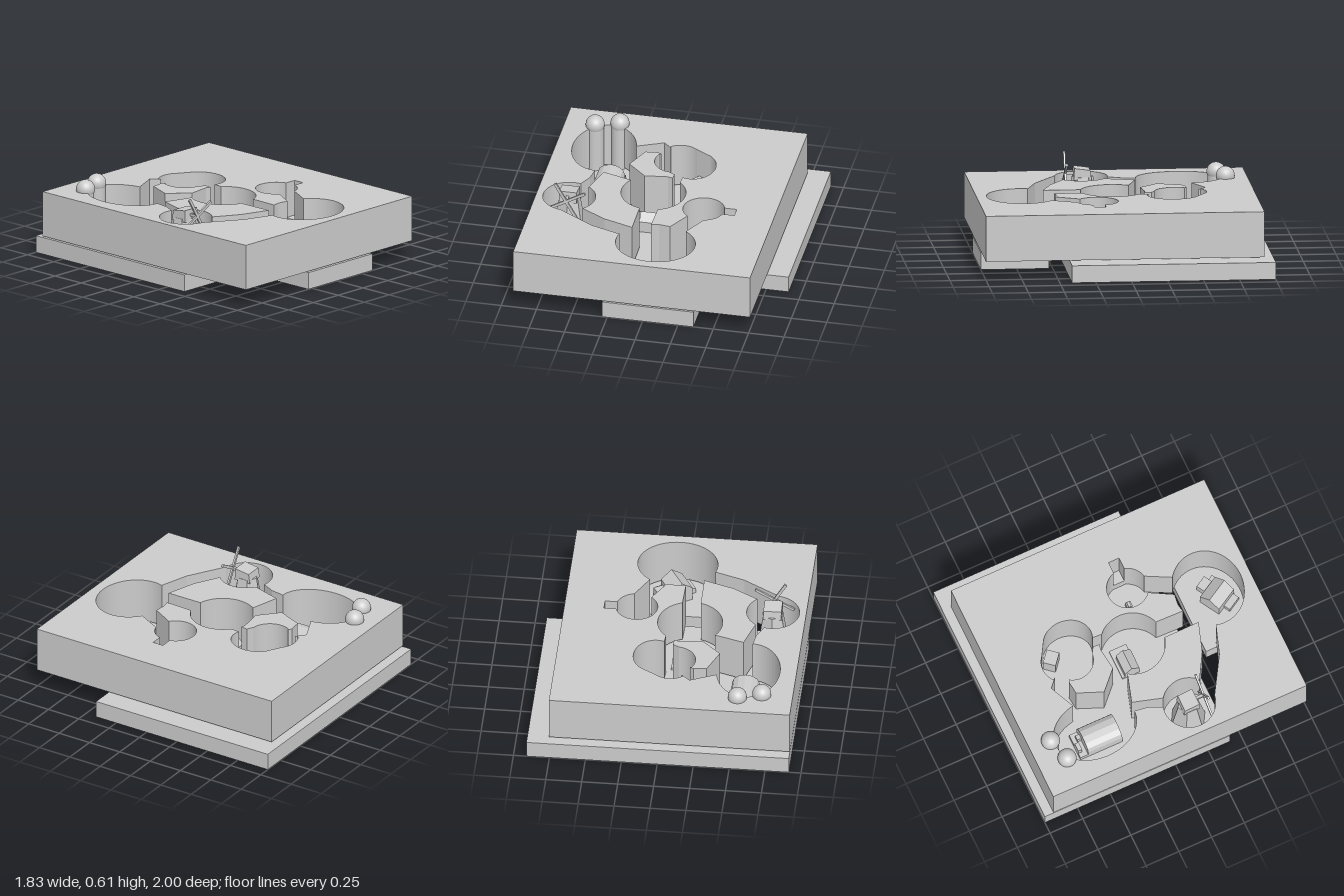
import * as THREE from 'three';

const mat = new THREE.MeshStandardMaterial({ color: 0xcccccc, side: THREE.DoubleSide });
const FLOOR = 0.12, UNDER = 0.13, TOP = 0.45;

export function createModel() {
  const root = new THREE.Group();
  const add = (name, geo, x = 0, y = 0, z = 0, parent = root) => {
    const m = new THREE.Mesh(geo, mat);
    m.name = name;
    m.position.set(x, y, z);
    parent.add(m);
    return m;
  };
  // Box given by its extents
  const block = (name, x0, x1, y0, y1, z0, z1, parent) =>
    add(name, new THREE.BoxGeometry(x1 - x0, y1 - y0, z1 - z0),
      (x0 + x1) / 2, (y0 + y1) / 2, (z0 + z1) / 2, parent);
  // Plan outline (x, z) extruded between the underside and the top of the slab
  const slab = (name, shape) => {
    const g = new THREE.ExtrudeGeometry(shape, { depth: TOP - UNDER, bevelEnabled: false, curveSegments: 32 });
    g.rotateX(Math.PI / 2);
    return add(name, g, 0, TOP, 0);
  };
  const lines = (path, pts) => pts.forEach(([x, z]) => path.lineTo(x, z));
  const arc = (path, x, z, rx, rz, a0, a1, back = false) => path.absellipse(x, z, rx, rz, a0, a1, back);
  // Profile (x, y) extruded along z, centred
  const prism = (name, pts, depth, parent) => {
    const s = new THREE.Shape(pts.map(([x, y]) => new THREE.Vector2(x, y)));
    const g = new THREE.ExtrudeGeometry(s, { depth, bevelEnabled: false });
    return add(name, g.translate(0, 0, -depth / 2), 0, 0, 0, parent);
  };
  const group = (name, x, y, z, turn = 0) => {
    const g = new THREE.Group();
    g.name = name;
    g.position.set(x, y, z);
    g.rotation.y = turn;
    root.add(g);
    return g;
  };

  // Base slabs
  block('base', -0.915, 0.91, 0, FLOOR, -1, 0.415);
  block('frontBase', -0.285, 0.36, 0, FLOOR, 0.525, 1);

  // Connected clearings and paths cut through the top slab
  const cut = new THREE.Path();
  arc(cut, -0.58, -0.46, 0.22, 0.30, Math.PI / 2, Math.PI * 2 - 0.23);
  lines(cut, [[-0.185, -0.61], [-0.125, -0.555]]);
  arc(cut, -0.04, -0.45, 0.15, 0.155, -2.25, -0.88);
  arc(cut, 0.08, -0.36, 0.15, 0.175, -1.0, 1.9);
  arc(cut, -0.125, 0.04, 0.225, 0.225, -0.83, 1.23);
  lines(cut, [[-0.055, 0.455], [0, 0.445], [0.08, 0.455]]);
  arc(cut, 0.26, 0.18, 0.145, 0.145, 2.24, Math.PI * 2 - 0.28);
  lines(cut, [[0.485, 0.14], [0.485, 0.22]]);
  arc(cut, 0.26, 0.18, 0.145, 0.145, 0.28, 1.36);
  arc(cut, 0.025, 0.685, 0.278, 0.245, -0.89, 3.41);
  lines(cut, [[-0.45, 0.55]]);
  arc(cut, -0.685, 0.21, 0.183, 0.183, 1.71, 4.96);
  lines(cut, [[-0.595, -0.06]]);

  const outline = new THREE.Shape();
  outline.moveTo(-0.915, -0.935);
  lines(outline, [[0.76, -0.935], [0.76, 1], [-0.915, 1]]);
  outline.closePath();
  outline.holes.push(cut);
  slab('topSlab', outline);

  // Two islands left standing between the paths
  const north = new THREE.Shape();
  north.moveTo(-0.365, -0.29);
  lines(north, [[-0.29, -0.47], [-0.20, -0.48], [-0.175, -0.465]]);
  arc(north, -0.06, -0.39, 0.145, 0.145, -2.6, -4.6, true);
  lines(north, [[-0.03, -0.22], [-0.035, -0.17], [-0.07, -0.18], [-0.23, -0.16]]);
  slab('northIsland', north);

  const west = new THREE.Shape();
  west.moveTo(-0.434, -0.20);
  arc(west, -0.125, 0.04, 0.225, 0.225, -2.54, -4.48, true);
  lines(west, [[-0.175, 0.52], [-0.385, 0.45]]);
  arc(west, -0.685, 0.21, 0.183, 0.183, 0.84, -0.95, true);
  lines(west, [[-0.515, -0.15]]);
  slab('westIsland', west);

  // Barrel-roofed hall with a stepped rear porch
  const hall = group('hall', -0.545, FLOOR, -0.41);
  const barrel = [[-0.095, 0], [0.095, 0]];
  for (let i = 0; i <= 6; i++) {
    const a = (i / 6) * Math.PI;
    barrel.push([0.095 * Math.cos(a), 0.08 + 0.07 * Math.sin(a)]);
  }
  prism('barrelHall', barrel, 0.26, hall);
  block('porch', -0.095, 0.09, 0, 0.04, -0.19, -0.13, hall);
  block('porchBlock', -0.06, 0, 0.04, 0.09, -0.19, -0.16, hall);
  block('porchPost', 0.02, 0.055, 0.04, 0.08, -0.16, -0.13, hall);

  // Two domed towers
  for (const [x, z] of [[-0.70, -0.73], [-0.535, -0.78]]) {
    const h = 0.465 - FLOOR;
    add('towerShaft', new THREE.CylinderGeometry(0.06, 0.06, h, 24), x, FLOOR + h / 2, z);
    add('towerDome', new THREE.SphereGeometry(0.066, 24, 16), x, 0.465, z);
  }

  // Windmill: six-sided tower, sloping cap, axle and crossed sails
  const mill = group('windmill', -0.685, 0, 0.2);
  const body = new THREE.CylinderGeometry(0.075, 0.13, TOP - FLOOR, 6).toNonIndexed();
  body.computeVertexNormals();
  add('millTower', body, 0, (TOP + FLOOR) / 2, 0, mill);
  const cap = prism('millCap', [[-0.065, 0.43], [0.06, 0.43], [0.05, 0.5], [-0.06, 0.515]], 0.125, mill);
  cap.rotation.y = Math.PI / 2;
  block('axle', -0.01, 0.01, 0.465, 0.485, 0.05, 0.125, mill);
  for (const a of [Math.PI / 6, Math.PI * 2 / 3])
    add('sail', new THREE.BoxGeometry(0.31, 0.02, 0.014), 0, 0.475, 0.12, mill).rotation.z = a;

  // Gabled house in the middle clearing
  const house = group('middleHouse', -0.115, FLOOR, -0.02);
  block('houseFloor', -0.11, 0.11, 0, 0.015, -0.065, 0.065, house);
  const gable = prism('gabledHouse', [[-0.065, 0], [0.045, 0], [0.045, 0.08], [-0.005, 0.13], [-0.065, 0.08]], 0.15, house);
  gable.rotation.y = Math.PI / 2;
  gable.position.x = -0.035;

  // Turned house in the front clearing, with lean-to and steps
  const front = group('frontHouse', 0.04, FLOOR, 0.76, Math.PI / 6);
  prism('frontGable', [[-0.08, 0], [0.08, 0], [0.08, 0.1], [0, 0.16], [-0.08, 0.1]], 0.18, front);
  block('leanTo', 0.08, 0.15, 0, 0.07, -0.03, 0.06, front);
  block('step', -0.13, -0.08, 0, 0.04, -0.03, 0.08, front);
  block('backStep', 0.0, 0.12, 0, 0.03, 0.06, 0.11, front);

  // Small buildings in the eastern clearings
  block('well', 0.21, 0.26, FLOOR, 0.17, 0.16, 0.2);
  block('wellCap', 0.215, 0.255, 0.17, 0.185, 0.17, 0.19);
  block('nicheBlock', 0.4, 0.485, FLOOR, 0.2, 0.14, 0.22);
  const hut = group('hut', 0.085, FLOOR, -0.485, -0.7);
  block('hutBody', -0.05, 0.05, 0, 0.13, -0.045, 0.045, hut);

  return root;
}
